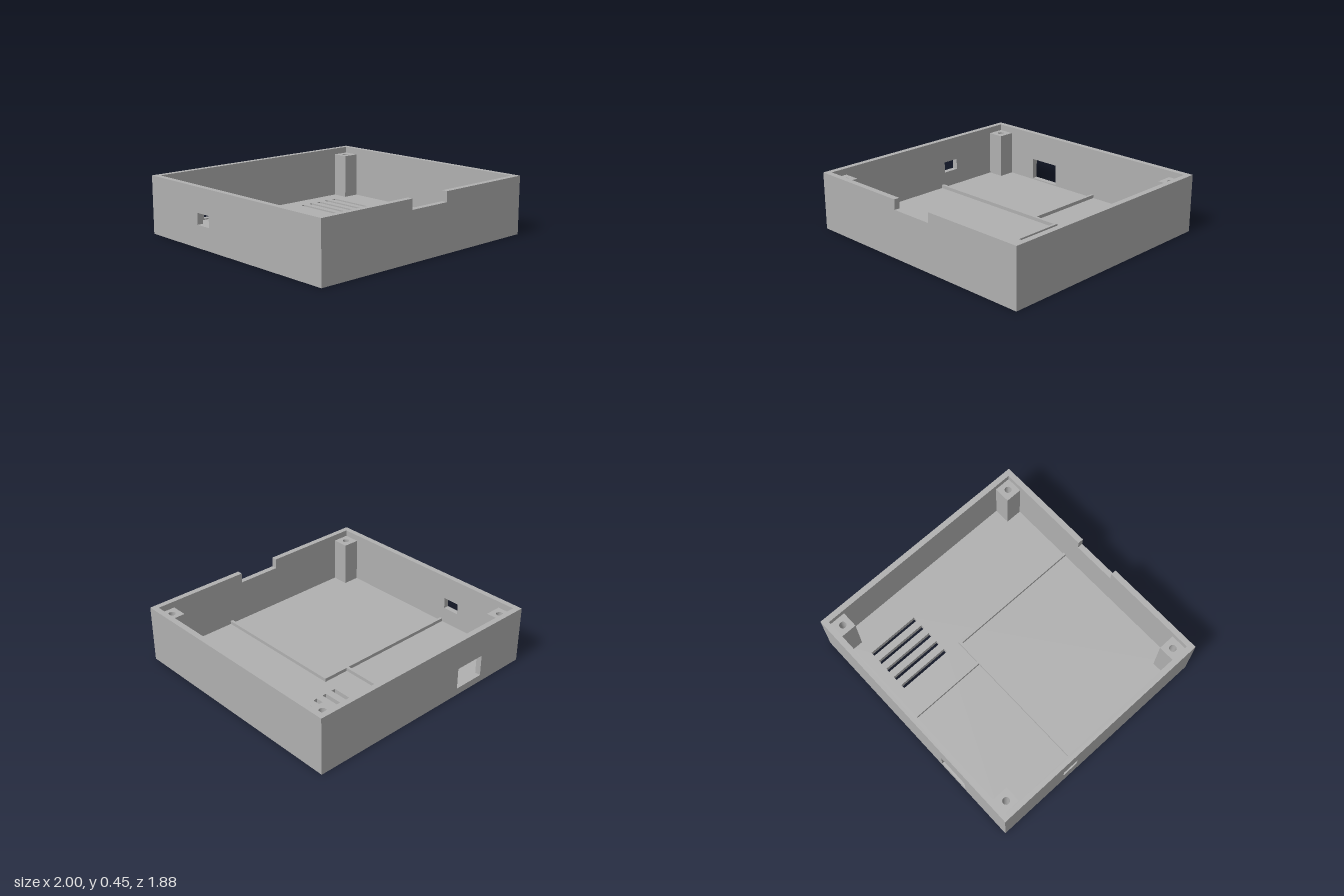
import * as THREE from 'three';

const W = 1, D = 0.94, H = 0.45;   // half width, half depth, height
const T = 0.045;                   // wall and floor thickness
const IX = W - T, IZ = D - T;      // inner half sizes

const rectPoints = (x0, y0, x1, y1) => [[x0, y0], [x1, y0], [x1, y1], [x0, y1]]
  .map(([x, y]) => new THREE.Vector2(x, y));

// Plate with rectangular holes, each given as [x0, y0, x1, y1]
function plate(points, holes, depth) {
  const shape = new THREE.Shape(points);
  for (const h of holes) shape.holes.push(new THREE.Path(rectPoints(...h)));
  return new THREE.ExtrudeGeometry(shape, { depth, bevelEnabled: false });
}

export function createModel() {
  const group = new THREE.Group();
  const grey = new THREE.MeshStandardMaterial({ color: 0xb0b0b0 });
  grey.name = 'grey plastic';

  const add = (name, geometry, x = 0, y = 0, z = 0) => {
    const mesh = new THREE.Mesh(geometry, grey);
    mesh.name = name;
    mesh.position.set(x, y, z);
    group.add(mesh);
  };

  // Floor with five ventilation slots (shape y is -z)
  const slots = [];
  for (let i = 0; i < 5; i++) {
    const x = 0.32 + i * 0.088;
    slots.push([x, 0.335, x + 0.033, 0.765]);
  }
  add('floor', plate(rectPoints(-W, -D, W, D), slots, T).rotateX(-Math.PI / 2));

  // Front wall with a notch in its top edge
  const frontOutline = [[-W, T], [W, T], [W, H], [0.175, H], [0.175, 0.372],
    [-0.175, 0.372], [-0.175, H], [-W, H]].map(([x, y]) => new THREE.Vector2(x, y));
  add('frontWall', plate(frontOutline, [], T), 0, 0, IZ);

  // Back wall with a connector opening
  add('backWall', plate(rectPoints(-W, T, W, H), [[-0.57, 0.055, -0.315, 0.224]], T), 0, 0, -D);

  // Side walls (shape x is -z); the one at -x has a small port
  const sideWall = (holes) => plate(rectPoints(-IZ, T, IZ, H), holes, T).rotateY(Math.PI / 2);
  add('rightWall', sideWall([[0.235, 0.172, 0.37, 0.26]]), -W);
  add('leftWall', sideWall([]), IX);

  // Corner screw posts with round holes
  const postX = 0.133, postZ = 0.132, postTop = 0.4;
  for (const sx of [-1, 1]) {
    for (const sz of [-1, 1]) {
      const shape = new THREE.Shape(rectPoints(-postX / 2, -postZ / 2, postX / 2, postZ / 2));
      shape.holes.push(new THREE.Path().absarc(0, 0, 0.027, 0, Math.PI * 2, true));
      const post = new THREE.ExtrudeGeometry(shape,
        { depth: postTop - T, bevelEnabled: false, curveSegments: 24 }).rotateX(-Math.PI / 2);
      add('screwPost', post, sx * (IX - postX / 2), T, sz * (IZ - postZ / 2));
    }
  }

  // Low dividing ribs on the floor
  const rib = (x0, z0, x1, z1) => add('floorRib',
    new THREE.BoxGeometry(x1 - x0, 0.027, z1 - z0), (x0 + x1) / 2, T + 0.0135, (z0 + z1) / 2);
  rib(-IX, -0.222, 0.31, -0.2);
  rib(0.075, -IZ, 0.097, -0.222);
  rib(0.288, -0.2, 0.31, IZ);

  return group;
}
